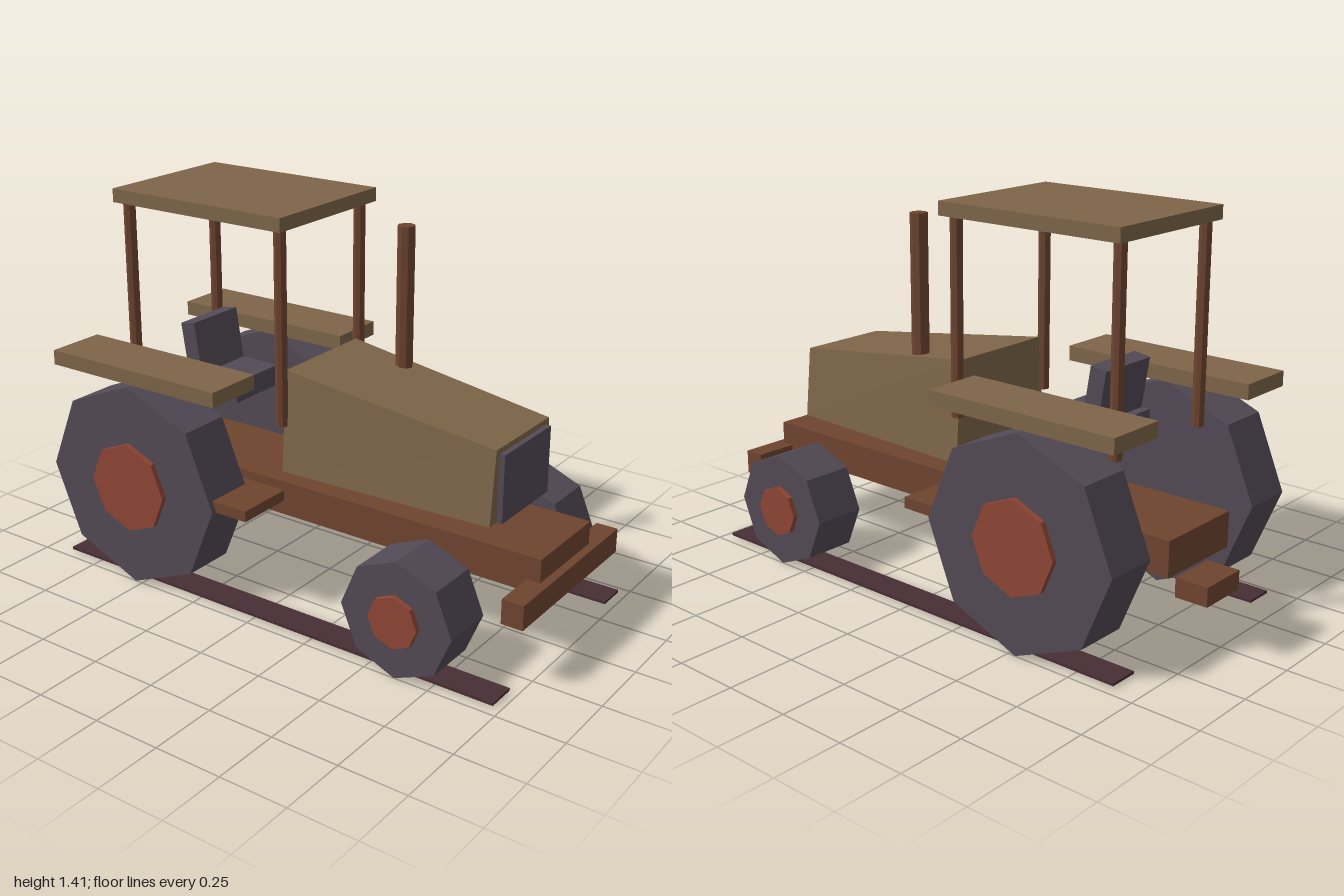
import * as THREE from 'three';

const mat = (name, color) => Object.assign(new THREE.MeshStandardMaterial({ color, flatShading: true }), { name });

export function createModel() {
  const tan = mat('tan bodywork', 0x7d6548);
  const brown = mat('brown frame', 0x6e442f);
  const tyre = mat('grey rubber', 0x524a55);
  const red = mat('red hub', 0x8f4636);
  const dark = mat('dark track', 0x472e34);

  const model = new THREE.Group();
  model.name = 'tractor';

  const add = (name, geometry, material) => {
    const mesh = new THREE.Mesh(geometry, material);
    mesh.name = name;
    model.add(mesh);
    return mesh;
  };
  // Box given by its limits on each axis
  const box = (name, material, [x0, x1], [y0, y1], [z0, z1]) => {
    const mesh = add(name, new THREE.BoxGeometry(x1 - x0, y1 - y0, z1 - z0), material);
    mesh.position.set((x0 + x1) / 2, (y0 + y1) / 2, (z0 + z1) / 2);
    return mesh;
  };
  // Upright eight-sided pole
  const pole = (name, r, x, z, y0, y1) => {
    add(name, new THREE.CylinderGeometry(r, r, y1 - y0, 8), brown).position.set(x, (y0 + y1) / 2, z);
  };
  // Eight-sided disc facing the side
  const disc = (name, material, r, x, y, z, width) => {
    const geometry = new THREE.CylinderGeometry(r, r, width, 8).rotateX(Math.PI / 2);
    add(name, geometry, material).position.set(x, y, z);
  };

  // Frame
  box('chassis', brown, [-0.9, 0.97], [0.28, 0.41], [-0.176, 0.176]);
  box('frontBumper', brown, [0.92, 1], [0.235, 0.325], [-0.34, 0.34]);
  box('rearHitch', brown, [-1, -0.875], [0.18, 0.25], [-0.095, 0.095]);

  // Hood: a box tapered towards the front and the top
  const hood = new THREE.BoxGeometry(2, 2, 2);
  const p = hood.attributes.position;
  for (let i = 0; i < p.count; i++) {
    const front = p.getX(i) > 0, top = p.getY(i) > 0;
    const halfWidth = (front ? 0.205 : 0.24) - (top ? 0.027 : 0);
    p.setXYZ(i, front ? 0.79 : -0.035, top ? (front ? 0.75 : 0.86) : 0.485, Math.sign(p.getZ(i)) * halfWidth);
  }
  hood.computeVertexNormals();
  add('hood', hood, tan);
  box('grille', tyre, [0.78, 0.81], [0.485, 0.73], [-0.158, 0.158]);
  pole('exhaust', 0.032, 0.218, -0.152, 0.78, 1.34);

  // Cab
  box('roof', tan, [-0.755, 0], [1.37, 1.42], [-0.283, 0.283]);
  box('seatCushion', tyre, [-0.6, -0.335], [0.64, 0.72], [-0.123, 0.123]);
  const back = box('seatBack', tyre, [-0.575, -0.511], [0.66, 0.91], [-0.123, 0.123]);
  back.rotation.z = 0.16;

  // Mirrored parts
  for (const [side, s] of [['left', 1], ['right', -1]]) {
    const span = (a, b) => (s > 0 ? [a, b] : [-b, -a]);
    disc(side + 'RearWheel', tyre, 0.385, -0.53, 0.39, s * 0.4, 0.2);
    disc(side + 'RearHub', red, 0.17, -0.53, 0.39, s * 0.5, 0.04);
    disc(side + 'FrontWheel', tyre, 0.214, 0.62, 0.219, s * 0.4, 0.2);
    disc(side + 'FrontHub', red, 0.095, 0.62, 0.219, s * 0.5, 0.04);
    box(side + 'Fender', tan, [-0.9, -0.14], [0.78, 0.835], span(0.26, 0.485));
    box(side + 'Step', brown, [-0.2, -0.013], [0.385, 0.425], span(0.26, 0.48));
    box(side + 'GroundTrack', dark, [-0.9, 0.97], [0.01, 0.02], span(0.35, 0.46));
    pole(side + 'RearPost', 0.022, -0.722, s * 0.235, 0.66, 1.38);
    pole(side + 'FrontPost', 0.022, -0.038, s * 0.235, 0.66, 1.38);
  }
  model.position.y = -0.005;
  const root = new THREE.Group();
  root.add(model);
  return root;
}
